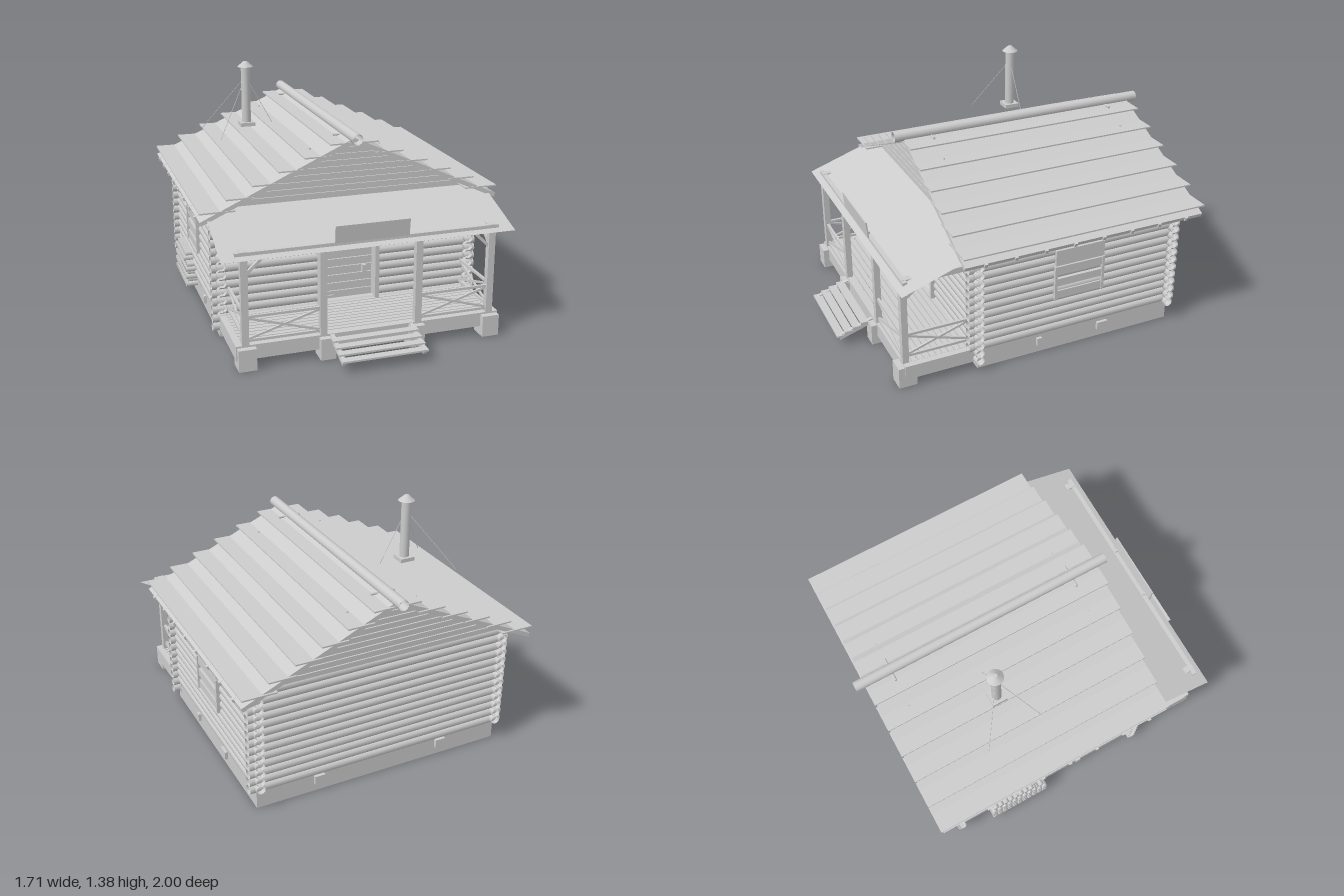
import * as THREE from 'three';

const wood = new THREE.MeshStandardMaterial({ color: 0xcccccc, side: THREE.DoubleSide });
wood.name = 'pale grey';

export function createModel() {
  const cabin = new THREE.Group();
  cabin.name = 'logCabin';
  const V = (x, y, z) => new THREE.Vector3(x, y, z);

  const add = (name, geo) => {
    const m = new THREE.Mesh(geo, wood);
    m.name = name;
    cabin.add(m);
    return m;
  };
  // box from its limits on each axis
  const box = (name, x0, x1, y0, y1, z0, z1) => {
    const m = add(name, new THREE.BoxGeometry(x1 - x0, y1 - y0, z1 - z0));
    m.position.set((x0 + x1) / 2, (y0 + y1) / 2, (z0 + z1) / 2);
    return m;
  };
  // round rod between two points
  const rod = (name, a, b, r, sides = 12, open = false) => {
    const m = add(name, new THREE.CylinderGeometry(r, r, a.distanceTo(b), sides, 1, open));
    m.position.copy(a).lerp(b, 0.5);
    m.quaternion.setFromUnitVectors(V(0, 1, 0), b.clone().sub(a).normalize());
    return m;
  };
  // square bar between two points
  const bar = (name, a, b, w, h = w) => {
    const m = add(name, new THREE.BoxGeometry(w, h, a.distanceTo(b)));
    m.position.copy(a).lerp(b, 0.5);
    m.lookAt(b);
    return m;
  };
  // front profile pushed along z
  const slab = (name, pts, z0, z1) => {
    const shape = new THREE.Shape(pts.map(([x, y]) => new THREE.Vector2(x, y)));
    const m = add(name, new THREE.ExtrudeGeometry(shape, { depth: z1 - z0, bevelEnabled: false }));
    m.position.z = z0;
    return m;
  };

  // foundation ring, floor and vents
  const rect = (C, x, z0, z1) => new C([[-x, z0], [x, z0], [x, z1], [-x, z1]].map(p => new THREE.Vector2(...p)));
  const ring = rect(THREE.Shape, 0.735, -0.37, 0.83);
  ring.holes.push(rect(THREE.Path, 0.62, -0.26, 0.72));
  const base = add('foundation', new THREE.ExtrudeGeometry(ring, { depth: 0.12, bevelEnabled: false }));
  base.rotation.x = -Math.PI / 2;
  box('floor', -0.72, 0.72, 0.1, 0.125, -0.82, 0.37);
  for (const s of [-1, 1]) {
    box('sideVent', s * 0.74 - 0.012, s * 0.74 + 0.012, 0.05, 0.095, -0.015, 0.015);
    box('sideVent', s * 0.74 - 0.012, s * 0.74 + 0.012, 0.05, 0.095, -0.43, -0.365);
    box('backVent', s * 0.375 - 0.03, s * 0.375 + 0.03, 0.05, 0.1, -0.848, -0.825);
  }

  // log walls with crossing corners; front logs stop at the doorway
  const R = 0.026, P = 0.048;
  const log = (name, a, b) => rod(name, a, b, R, 12, true);
  for (let i = 0; i < 12; i++)
    for (const s of [-1, 1]) log('sideLog', V(s * 0.725, 0.14 + P * i, -0.87), V(s * 0.725, 0.14 + P * i, 0.42));
  for (let i = 0; i < 14; i++) {
    const y = 0.068 + P * i, w = i > 12 ? 0.74 : 0.775;
    if (y > 0.13 && y < 0.54)
      for (const s of [-1, 1]) log('frontLog', V(s * 0.165, y, 0.37), V(s * w, y, 0.37));
    else log('frontLog', V(-w, y, 0.37), V(w, y, 0.37));
    if (i > 0) log('backLog', V(-w, y + 0.01, -0.82), V(w, y + 0.01, -0.82));
  }

  // boarded gables
  const roofY = x => 1.096 - 0.456 * Math.abs(x);
  for (let i = 0; i < 10; i++) {
    const y0 = 0.715 + i * 0.035, y1 = y0 + 0.03, y2 = y0 + 0.035;
    const hw = y => Math.max((1.075 - y) / 0.456, 0.01);
    for (const z of [0.37, -0.82]) {
      slab('gableBoard', [[-hw(y0), y0], [hw(y0), y0], [hw(y1), y1], [-hw(y1), y1]], z - 0.02, z + 0.02);
      slab('gableBacking', [[-hw(y0), y0], [hw(y0), y0], [hw(y2), y2], [-hw(y2), y2]], z - 0.012, z + 0.012);
    }
  }

  // roof sheets, stepped planks and rafter tails
  for (const s of [-1, 1]) {
    slab('roofSheet', [[0, roofY(0)], [s * 0.845, roofY(0.845)], [s * 0.837, roofY(0.837) - 0.025], [0, roofY(0) - 0.028]], -0.94, 0.485);
    for (let k = 0; k < 6; k++) {
      const xo = 0.845 - 0.142 * k, xi = Math.max(xo - (k ? 0.15 : 0.19), 0);
      const y = 0.757 + 0.0625 * k;
      box('roofPlank', Math.min(s * xo, s * xi), Math.max(s * xo, s * xi), y - 0.004, y + 0.004, -0.95, 0.49);
    }
    for (let k = 0; k < 8; k++) {
      const z = 0.37 - 0.172 * k;
      bar('rafterTail', V(s * 0.7, roofY(0.7) - 0.018, z), V(s * 0.85, roofY(0.85) - 0.01, z), 0.018, 0.022);
    }
  }

  // ridge pole and its pegs
  rod('ridgePole', V(0, 1.1, -1), V(0, 1.1, 0.54), 0.029, 16, true);
  for (const z of [0.325, -0.79]) {
    rod('ridgePeg', V(-0.068, 1.082, z), V(0.068, 1.082, z), 0.007, 8);
    for (const s of [-1, 1]) rod('roofPeg', V(s * 0.2, 0.985, z), V(s * 0.2, 1.018, z), 0.006, 8);
  }

  // chimney pipe, cap and guy wires
  const cx = -0.387, cz = -0.355;
  box('chimneyBase', cx - 0.043, cx + 0.043, 1.003, 1.025, cz - 0.043, cz + 0.043);
  rod('chimneyPipe', V(cx, 1.01, cz), V(cx, 1.355, cz), 0.027, 16);
  add('chimneyCap', new THREE.CylinderGeometry(0.012, 0.046, 0.03, 16)).position.set(cx, 1.37, cz);
  for (const [x, y, z] of [[-0.62, 0.965, -0.53], [-0.58, 0.965, -0.19], [-0.225, 1.0, -0.36]])
    rod('guyWire', V(cx, 1.295, cz), V(x, y, z), 0.0018, 5);

  // porch awning and blank board
  const awning = add('awning', new THREE.PlaneGeometry(1.61, Math.hypot(0.42, 0.145)));
  awning.position.set(0, 0.674, 0.6);
  awning.rotation.x = -Math.atan2(0.42, 0.145);
  bar('awningBoard', V(0, 0.63, 0.775), V(0, 0.725, 0.785), 0.41, 0.008);
  for (const s of [-1, 1]) box('boardBracket', s * 0.16 - 0.006, s * 0.16 + 0.006, 0.62, 0.645, 0.755, 0.775);

  // porch deck: rim beams, joists and boards
  box('frontRim', -0.7, 0.7, 0.05, 0.13, 0.752, 0.782);
  for (const s of [-1, 1]) box('sideRim', s * 0.719 - 0.018, s * 0.719 + 0.018, 0.05, 0.13, 0.33, 0.782);
  for (let i = 0; i < 24; i++) {
    const x = -0.69 + i * 0.0592;
    box('deckJoist', x, x + 0.022, 0.1, 0.118, 0.38, 0.76);
  }
  for (let i = 0; i < 11; i++) {
    const z = 0.385 + i * 0.035;
    box('deckBoard', -0.7, 0.7, 0.118, 0.13, z, z + 0.029);
  }

  // porch posts, blocks, beams, braces and railings
  box('frontBeam', -0.73, 0.725, 0.6, 0.632, 0.748, 0.774);
  const panel = (a, b, low, high) => { // rails and crossed braces between two floor points
    const at = (p, y) => V(p[0], y, p[1]);
    bar('topRail', at(a, high), at(b, high), 0.014);
    bar('lowRail', at(a, low), at(b, low), 0.014);
    bar('crossBrace', at(a, low + 0.008), at(b, high - 0.008), 0.01, 0.012);
    bar('crossBrace', at(a, high - 0.008), at(b, low + 0.008), 0.01, 0.012);
  };
  for (const s of [-1, 1]) {
    for (const x of [0.685, 0.265]) {
      box('post', s * x - 0.019, s * x + 0.019, 0.12, 0.605, 0.747, 0.782);
      const c = x > 0.5 ? 0.683 : 0.25, w = x > 0.5 ? 0.048 : 0.042;
      box('postBlock', s * c - w, s * c + w, 0, 0.12, 0.715, 0.816);
    }
    box('sideBeam', s * 0.685 - 0.018, s * 0.685 + 0.018, 0.602, 0.634, 0.33, 0.774);
    bar('frontBrace', V(s * 0.67, 0.515, 0.765), V(s * 0.575, 0.605, 0.765), 0.016);
    bar('sideBrace', V(s * 0.685, 0.515, 0.75), V(s * 0.685, 0.605, 0.645), 0.016);
    panel([s * 0.668, 0.765], [s * 0.284, 0.765], 0.15, 0.281);
    panel([s * 0.685, 0.75], [s * 0.685, 0.4], 0.165, 0.294);
  }

  // entrance steps: level treads between two sloping stringers
  for (let i = 0; i < 4; i++) {
    const z = 0.812 + i * 0.047, y = 0.122 - i * 0.017;
    box('tread', -0.238, 0.238, y - 0.01, y, z, z + 0.046);
  }
  for (const s of [-1, 1]) bar('stringer', V(s * 0.222, 0.118, 0.785), V(s * 0.222, 0.054, 0.985), 0.02, 0.028);

  // recessed door with frame, hinges, handle and lamp
  for (let i = 0; i < 8; i++) box('doorBoard', -0.16, 0.16, 0.13 + P * i, 0.174 + P * i, 0.325, 0.345);
  for (const s of [-1, 1]) box('doorJamb', s * 0.168 - 0.012, s * 0.168 + 0.012, 0.13, 0.555, 0.325, 0.412);
  box('doorHeader', -0.165, 0.165, 0.555, 0.595, 0.37, 0.418);
  box('doorTop', -0.157, 0.157, 0.515, 0.53, 0.325, 0.404);
  for (const y of [0.145, 0.447]) box('hinge', -0.157, -0.07, y - 0.008, y + 0.008, 0.34, 0.353);
  box('handle', 0.095, 0.115, 0.275, 0.32, 0.34, 0.37);
  box('porchLamp', -0.022, 0.022, 0.497, 0.527, 0.39, 0.43);

  // shuttered side windows
  for (const s of [-1, 1]) {
    const plate = (name, y0, y1, z0, z1, out) =>
      box(name, Math.min(s * 0.73, s * out), Math.max(s * 0.73, s * out), y0, y1, z0, z1);
    plate('windowHeader', 0.54, 0.632, -0.375, -0.08, 0.764);
    for (const y of [0.485, 0.41, 0.335]) plate('windowBoard', y, y + 0.045, -0.365, -0.09, 0.76);
    for (const z of [-0.372, -0.083]) plate('windowJamb', 0.327, 0.535, z - 0.007, z + 0.007, 0.766);
  }

  // stacked firewood against the right wall
  for (let r = 0; r < 8; r++)
    for (let i = 0; i < 11 - (r % 2) - (r > 5 ? 2 : 0); i++) {
      const z = -0.61 + i * 0.034 + (r % 2) * 0.017, y = 0.066 + r * 0.0235;
      const out = r % 2 ? 0.79 : 0.803;
      rod('firewood', V(-0.72, y, z), V(-out, y, z), 0.0155, 8);
    }

  return cabin;
}
